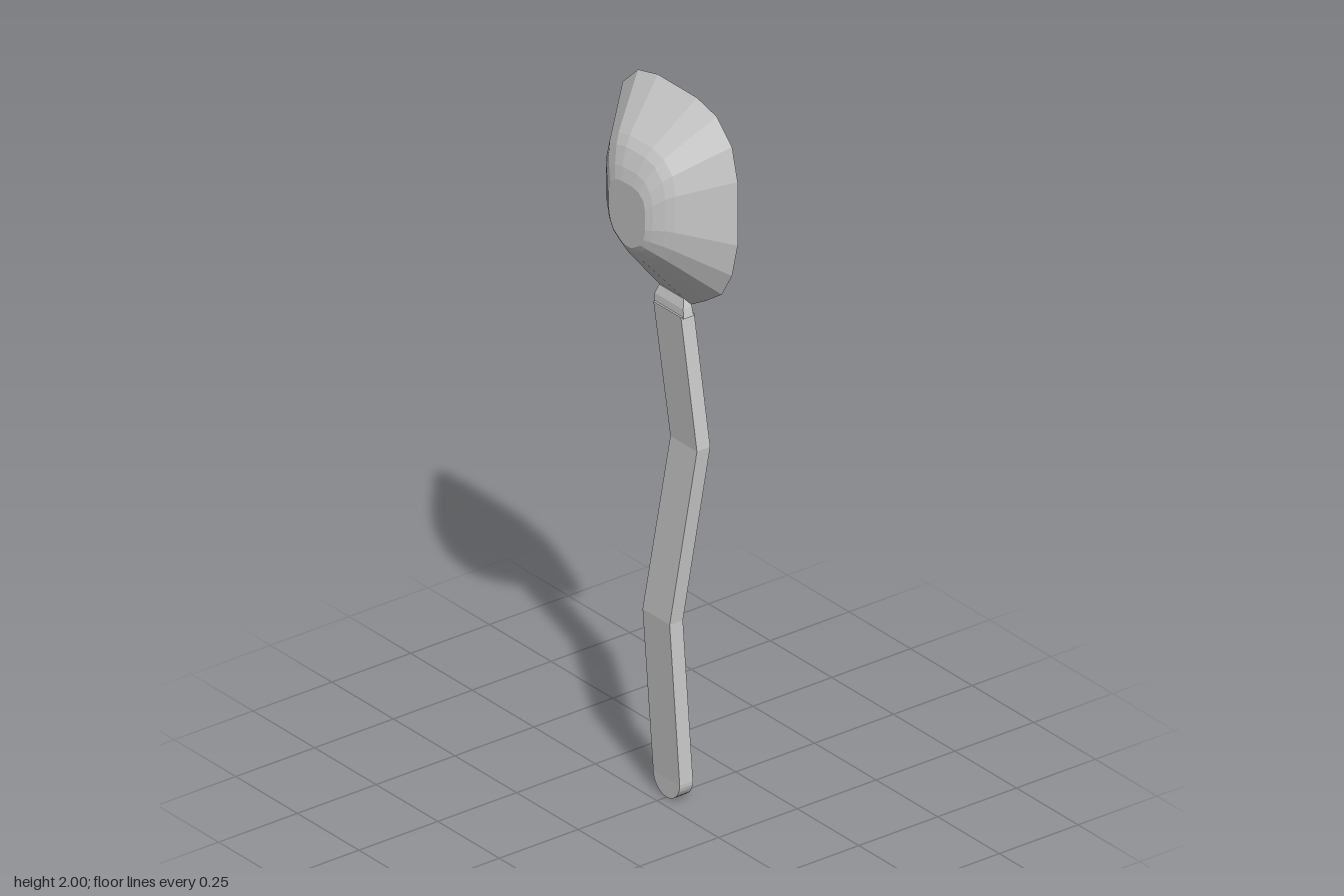
import * as THREE from 'three';

const material = new THREE.MeshStandardMaterial({ color: 0xcccccc, flatShading: true });

// Skins a stack of equal-length rings and closes both ends
function loft(name, rings) {
  const pos = [];
  const tri = (...pts) => pts.forEach((p) => pos.push(...p));
  const centre = (ring) => [0, 1, 2].map((k) => ring.reduce((s, p) => s + p[k], 0) / ring.length);
  const n = rings[0].length;
  const first = rings[0], last = rings[rings.length - 1];
  const c0 = centre(first), c1 = centre(last);
  for (let j = 0; j < n; j++) {
    const k = (j + 1) % n;
    for (let i = 0; i < rings.length - 1; i++) {
      const a = rings[i], b = rings[i + 1];
      tri(a[j], a[k], b[k]);
      tri(a[j], b[k], b[j]);
    }
    tri(c0, first[k], first[j]);
    tri(c1, last[j], last[k]);
  }
  const geometry = new THREE.BufferGeometry();
  geometry.setAttribute('position', new THREE.Float32BufferAttribute(pos, 3));
  geometry.computeVertexNormals();
  const mesh = new THREE.Mesh(geometry, material);
  mesh.name = name;
  return mesh;
}

// Half of the bowl rim, bottom to top; mirrored for the other half
const halfRim = [
  [0.055, 1.405], [0.115, 1.44], [0.18, 1.485], [0.222, 1.555], [0.245, 1.65],
  [0.245, 1.83], [0.222, 1.92], [0.16, 1.98], [0.08, 2.0],
];
const rim = [...halfRim, ...halfRim.map(([x, y]) => [-x, y]).reverse()];

// Rim outline scaled to a half width and a height range at depth z
function bowlRing(halfWidth, bottom, top, z) {
  return rim.map(([x, y]) => [
    (x * halfWidth) / 0.245,
    bottom + ((y - 1.405) / 0.595) * (top - bottom),
    z,
  ]);
}

// Rectangular section of the handle
function section(x, y, z, halfWidth, halfDepth = 0.021) {
  return [[1, 1], [1, -1], [-1, -1], [-1, 1]].map(([sx, sz]) => [x + sx * halfWidth, y, z + sz * halfDepth]);
}

export function createModel() {
  const group = new THREE.Group();
  group.name = 'spoon';

  // Bowl: flat inner floor, rim, then the rounded outer shell
  group.add(loft('bowl', [
    bowlRing(0.152, 1.52, 1.89, -0.01),
    bowlRing(0.245, 1.405, 2.0, -0.065),
    bowlRing(0.14, 1.54, 1.88, 0.05),
    bowlRing(0.12, 1.56, 1.855, 0.067),
    bowlRing(0.092, 1.585, 1.81, 0.086),
    bowlRing(0.074, 1.6, 1.775, 0.095),
  ]));

  // Neck between bowl and handle
  group.add(loft('neck', [
    section(0.002, 1.375, -0.052, 0.06, 0.016),
    section(0, 1.4, -0.052, 0.058, 0.014),
    section(0, 1.425, -0.055, 0.05, 0.009),
  ]));

  // Crooked handle with a rounded lower end
  const r = 0.054;
  const sections = [];
  const steps = 8;
  for (let i = 0; i <= steps; i++) {
    const a = (i / steps) * Math.PI / 2;
    sections.push(section(-0.001, r * (1 - Math.cos(a)), -0.052, Math.max(r * Math.sin(a), 0.001)));
  }
  sections.push(
    section(-0.016, 0.51, -0.031, 0.055),
    section(0.042, 1.01, -0.073, 0.054),
    section(0.002, 1.38, -0.052, 0.056),
  );
  group.add(loft('handle', sections));

  return group;
}
